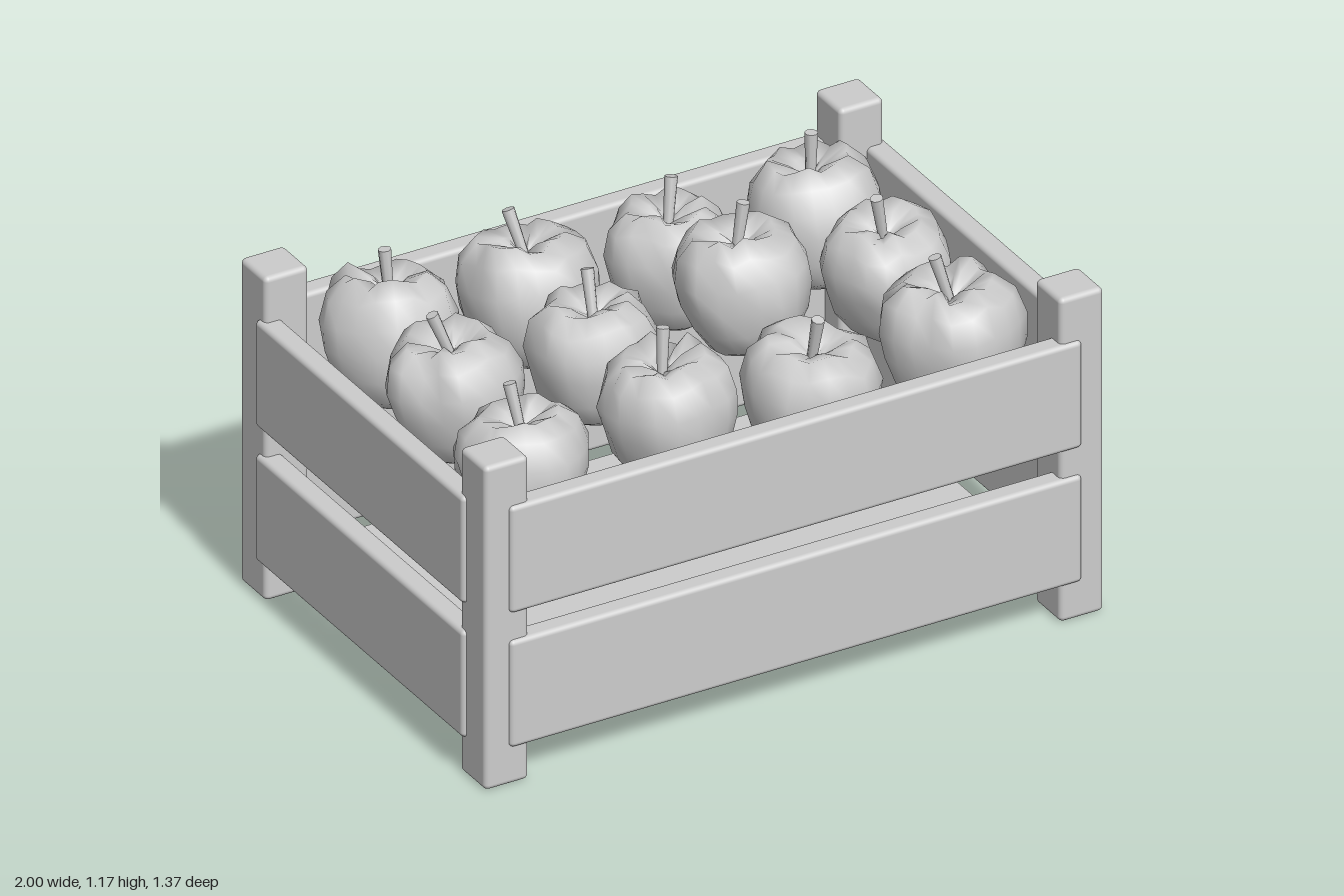
import * as THREE from 'three';
import { mergeVertices } from 'three/addons/utils/BufferGeometryUtils.js';
import { RoundedBoxGeometry } from 'three/addons/geometries/RoundedBoxGeometry.js';

const clay = new THREE.MeshStandardMaterial({ color: 0xcccccc });
clay.name = 'light grey';

// small seeded generator
function seeded(seed) {
  let s = seed;
  return () => {
    s = (s * 16807) % 2147483647;
    return s / 2147483647;
  };
}

function addMesh(parent, name, geometry, x = 0, y = 0, z = 0) {
  const mesh = new THREE.Mesh(geometry, clay);
  mesh.name = name;
  mesh.position.set(x, y, z);
  parent.add(mesh);
  return mesh;
}

// half-section of an apple from its base to the stem hollow, unit radius
const applePoints = [
  [0, -0.8], [0.38, -0.94], [0.65, -0.8], [0.86, -0.45], [0.97, -0.05],
  [1.0, 0.32], [0.87, 0.7], [0.6, 0.92], [0.3, 0.8], [0.1, 0.66], [0, 0.62],
];
const profile = applePoints.map(([r, y]) => new THREE.Vector2(r, y));

// apple skin: a lathe with wavering ribs that pleat towards the hollow
function appleGeometry(radius, rand) {
  const segments = 20;
  const geometry = new THREE.LatheGeometry(profile, segments);
  const position = geometry.attributes.position;
  const ribs = Array.from({ length: segments }, () => rand() - 0.5);
  const pleats = Array.from({ length: segments }, () => rand() - 0.5);
  const wobble = Array.from({ length: segments * profile.length }, () => rand() - 0.5);
  for (let i = 0; i < position.count; i++) {
    const column = Math.floor(i / profile.length) % segments;
    const row = i % profile.length;
    const upper = THREE.MathUtils.smoothstep(position.getY(i), 0.1, 0.8);
    const pole = row === 0 || row === profile.length - 1;
    const noise = wobble[column * profile.length + row];
    const lobe = 0.03 * Math.cos((column / segments) * Math.PI * 10);
    const scale = 1 + lobe + ribs[column] * (0.06 + 0.12 * upper) + noise * 0.06;
    const lift = pole ? 0 : upper * (pleats[column] * 0.16 + noise * 0.08);
    position.setXYZ(i, position.getX(i) * scale, position.getY(i) + lift, position.getZ(i) * scale);
  }
  geometry.deleteAttribute('uv');
  geometry.deleteAttribute('normal');
  const welded = mergeVertices(geometry, 1e-4);
  welded.scale(radius, radius, radius);
  welded.computeVertexNormals();
  return welded;
}

// x, z, height of the top, radius
const apples = [
  [-0.67, -0.39, 1.01, 0.197], [-0.225, -0.39, 1.01, 0.197], [0.22, -0.38, 0.98, 0.185], [0.68, -0.375, 1.0, 0.195],
  [-0.68, -0.01, 1.02, 0.193], [-0.235, -0.015, 1.0, 0.188], [0.235, -0.01, 1.09, 0.19], [0.685, 0, 1.0, 0.183],
  [-0.69, 0.37, 0.97, 0.188], [-0.225, 0.36, 1.01, 0.192], [0.235, 0.36, 0.93, 0.192], [0.68, 0.37, 0.99, 0.2],
];

function addApple(parent, [x, z, top, radius], index) {
  const rand = seeded(1237 * (index + 3));
  const apple = new THREE.Group();
  apple.name = 'apple';
  apple.position.set(x, top - 0.94 * radius, z);
  apple.rotation.set((rand() - 0.5) * 0.3, rand() * 6.28, (rand() - 0.5) * 0.3);
  addMesh(apple, 'skin', appleGeometry(radius, rand));
  // stem rises out of the hollow, a little thicker at its tip
  const stemGeometry = new THREE.CylinderGeometry(0.019, 0.014, 0.15, 8);
  stemGeometry.translate(0, 0.065, 0);
  const stem = addMesh(apple, 'stem', stemGeometry, 0, 0.62 * radius, 0);
  stem.rotation.z = 0.15 + rand() * 0.15;
  parent.add(apple);
}

export function createModel() {
  const model = new THREE.Group();
  model.name = 'apple crate';

  // corner posts
  for (const sx of [-1, 1]) {
    for (const sz of [-1, 1]) {
      addMesh(model, 'cornerPost', new RoundedBoxGeometry(0.14, 1.03, 0.14, 3, 0.016), sx * 0.917, 0.515, sz * 0.602);
    }
  }

  // two boards on each of the four sides
  for (const y of [0.29, 0.7175]) {
    for (const side of [-1, 1]) {
      addMesh(model, 'longBoard', new RoundedBoxGeometry(1.825, 0.34, 0.068, 3, 0.015), 0, y, side * 0.65);
      addMesh(model, 'shortBoard', new RoundedBoxGeometry(0.068, 0.34, 1.14, 3, 0.015), side * 0.966, y, 0);
    }
  }

  // floor panel
  addMesh(model, 'floor', new THREE.BoxGeometry(1.77, 0.05, 1.14), 0, 0.1, 0);

  // three rows of four apples
  const fruit = new THREE.Group();
  fruit.name = 'apples';
  apples.forEach((data, index) => addApple(fruit, data, index));
  model.add(fruit);

  return model;
}
